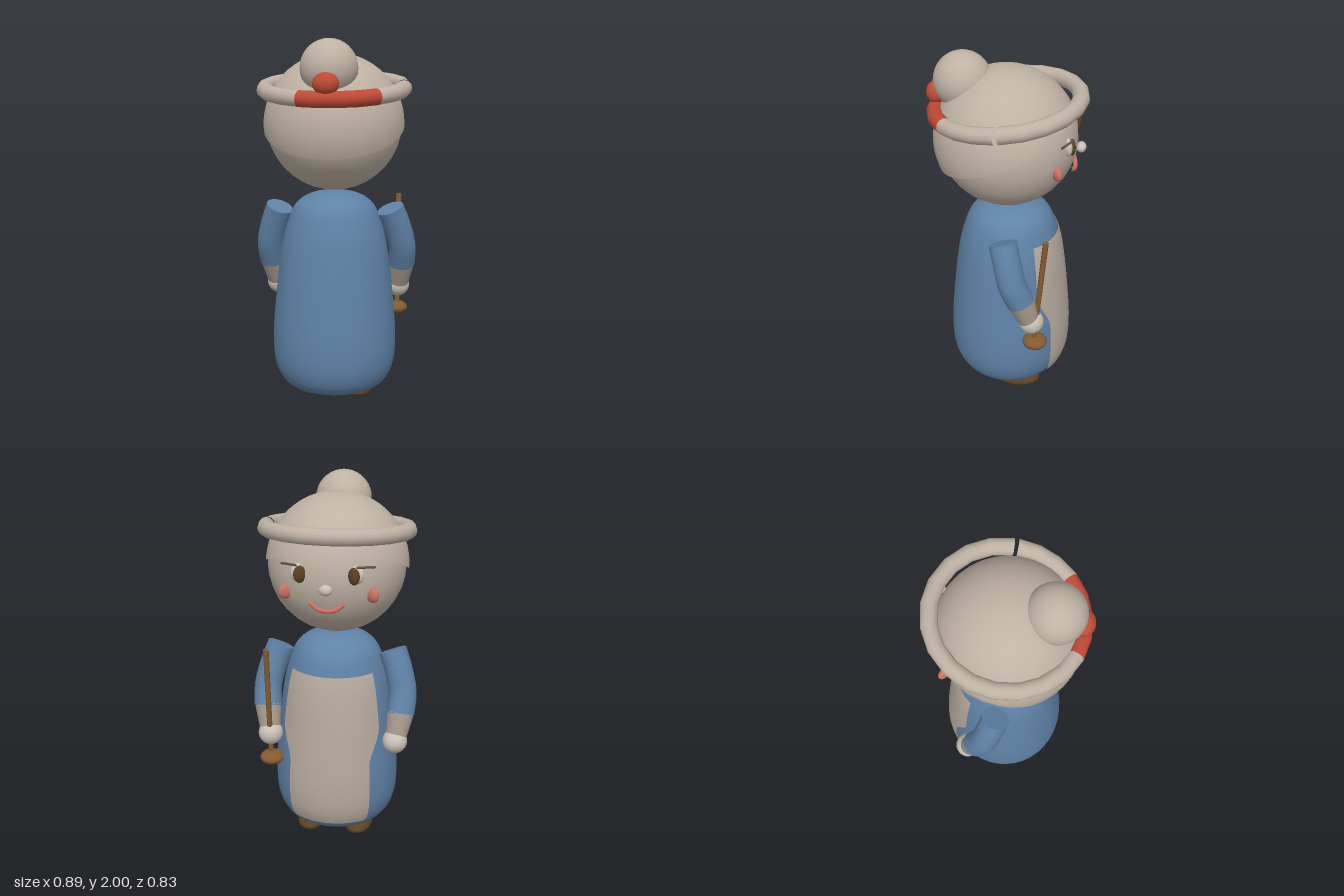
import * as THREE from 'three';

const V = (x, y, z) => new THREE.Vector3(x, y, z);
const mat = (name, color, side = THREE.FrontSide) => {
  const m = new THREE.MeshStandardMaterial({ color, side });
  m.name = name;
  return m;
};

export function createModel() {
  const root = new THREE.Group();
  root.name = 'doll';

  const beige = mat('beige', 0xbfb2a4);
  const apronBeige = mat('apronBeige', 0xb5a99d, THREE.DoubleSide);
  const cuffBeige = mat('cuffBeige', 0xa89c91);
  const handBeige = mat('handBeige', 0xc9c0b7);
  const blue = mat('blue', 0x5f82a6, THREE.DoubleSide);
  const red = mat('red', 0xbf4a36);
  const pink = mat('pink', 0xcb7063);
  const brown = mat('brown', 0x835b34);
  const darkBrown = mat('darkBrown', 0x5a4222);
  const lashGrey = mat('lashGrey', 0x5a5444);

  const add = (name, geo, material, parent = root) => {
    const m = new THREE.Mesh(geo, material);
    m.name = name;
    parent.add(m);
    return m;
  };
  const ball = (name, material, pos, rx, ry = rx, rz = rx, parent = root) => {
    const m = add(name, new THREE.SphereGeometry(1, 28, 18), material, parent);
    m.position.set(...pos);
    m.scale.set(rx, ry, rz);
    return m;
  };
  const rod = (name, material, a, b, ra, rb, parent = root) => {
    const dir = b.clone().sub(a);
    const m = add(name, new THREE.CylinderGeometry(rb, ra, dir.length(), 20), material, parent);
    m.position.copy(a).add(b).multiplyScalar(0.5);
    m.quaternion.setFromUnitVectors(V(0, 1, 0), dir.normalize());
    return m;
  };

  // Gown: rounded, tapering body
  const torso = new THREE.Group();
  torso.name = 'torso';
  torso.position.z = -0.015;
  torso.scale.z = 0.975;
  root.add(torso);
  const profile = new THREE.CatmullRomCurve3([
    [0, 0.07], [0.18, 0.075], [0.275, 0.115], [0.325, 0.2], [0.342, 0.34], [0.325, 0.6],
    [0.287, 0.9], [0.262, 1.0], [0.222, 1.1], [0.17, 1.15], [0.09, 1.18], [0, 1.185],
  ].map(([r, y]) => V(r, y, 0)), false, 'centripetal').getPoints(44)
    .map((p) => new THREE.Vector2(Math.max(p.x, 0), p.y));
  add('gown', new THREE.LatheGeometry(profile, 40), blue, torso);

  // Apron: thin sheet wrapped over the face side of the gown, wider at the top
  const radiusAt = (y) => {
    const i = Math.max(1, profile.findIndex((p) => p.y >= y));
    const a = profile[i - 1], b = profile[i];
    return THREE.MathUtils.lerp(a.x, b.x, (y - a.y) / (b.y - a.y));
  };
  const apronGeo = new THREE.PlaneGeometry(1, 1, 20, 34);
  const ap = apronGeo.attributes.position;
  for (let i = 0; i < ap.count; i++) {
    const y = 0.585 + ap.getY(i) * 0.85;
    const wide = THREE.MathUtils.smoothstep(y, 0.5, 0.72);
    const corner = THREE.MathUtils.smoothstep(y, 0.1, 0.2);
    const half = (34 + 5 * corner + 14 * wide) * Math.PI / 180;
    const a = Math.PI + ap.getX(i) * 2 * half;
    const r = radiusAt(y) + 0.009;
    ap.setXYZ(i, r * Math.sin(a), y, r * Math.cos(a));
  }
  apronGeo.computeVertexNormals();
  add('apron', apronGeo, apronBeige, torso);

  // Arms, cuffs, hands and feet
  for (const s of [1, -1]) {
    const side = s > 0 ? 'left' : 'right';
    const path = new THREE.CatmullRomCurve3([
      V(s * 0.305, 1.09, -0.025), V(s * 0.342, 0.99, -0.052),
      V(s * 0.37, 0.87, -0.085), V(s * 0.365, 0.765, -0.13),
    ]);
    add(side + 'Sleeve', new THREE.TubeGeometry(path, 14, 0.075, 18), blue);
    const cap = add(side + 'SleeveCap', new THREE.CircleGeometry(0.075, 18), blue);
    cap.position.copy(path.getPoint(0));
    cap.quaternion.setFromUnitVectors(V(0, 0, 1), path.getTangent(0).negate());
    rod(side + 'Cuff', cuffBeige, V(s * 0.365, 0.775, -0.127), V(s * 0.347, 0.645, -0.172), 0.074, 0.057);
    ball(side + 'Hand', handBeige, [s * 0.342, 0.625, -0.185], 0.067);
    ball(side + 'Foot', darkBrown, [s * 0.135, 0.044, -0.078], 0.08, 0.041, 0.133);
  }

  // Staff with a rounded foot, held in the left hand
  rod('staff', brown, V(0.34, 0.49, -0.198), V(0.34, 1.14, -0.252), 0.014, 0.015);
  ball('staffFoot', brown, [0.333, 0.485, -0.205], 0.066, 0.037, 0.067);

  // Head with a slightly raised, tilted hair cap and a bun
  ball('head', beige, [0, 1.56, 0], 0.365);
  const hair = add('hair', new THREE.SphereGeometry(0.378, 40, 20, 0, Math.PI * 2, 0, Math.PI * 0.51), beige);
  hair.position.set(0, 1.55, 0.008);
  hair.rotation.x = 0.39;
  ball('bun', beige, [0, 1.85, 0.23], 0.15);

  // Rolled head ring: two plain arcs with a red section between
  const ring = new THREE.Group();
  ring.name = 'headRing';
  ring.position.y = 1.742;
  ring.rotation.x = 0.12;
  root.add(ring);
  const deg = Math.PI / 180;
  for (const [name, from, to, material] of [
    ['ringFront', 1, 48, beige], ['ringRed', 48, 112, red], ['ringBack', 112, 358, beige],
  ]) {
    const segs = Math.max(3, Math.round((to - from) / 18));
    const geo = new THREE.TorusGeometry(0.373, 0.043, 12, segs, (to - from) * deg);
    geo.rotateZ(from * deg);
    geo.rotateX(Math.PI / 2);
    add(name, geo, material, ring);
  }
  ball('redBead', red, [0, 1.776, 0.368], 0.068, 0.058, 0.052);

  // Face
  const face = new THREE.Group();
  face.name = 'face';
  root.add(face);
  for (const s of [1, -1]) {
    ball('eyeWhite', handBeige, [s * 0.145, 1.592, -0.325], 0.042, 0.048, 0.022, face).rotation.y = s * 0.4;
    ball('eye', darkBrown, [s * 0.135, 1.588, -0.345], 0.032, 0.044, 0.018, face).rotation.y = s * 0.38;
    ball('cheek', pink, [s * 0.22, 1.478, -0.283], 0.04, 0.04, 0.022, face).rotation.y = s * 0.65;
    rod('eyelash', lashGrey, V(s * 0.15, 1.636, -0.355), V(s * 0.235, 1.63, -0.305), 0.006, 0.006, face);
  }
  ball('nose', handBeige, [0, 1.522, -0.382], 0.034, 0.028, 0.026, face);
  const smile = new THREE.CatmullRomCurve3([
    V(-0.085, 1.437, -0.335), V(-0.035, 1.409, -0.352), V(0.035, 1.409, -0.352), V(0.085, 1.437, -0.335),
  ]);
  add('mouth', new THREE.TubeGeometry(smile, 16, 0.012, 8), pink, face);

  return root;
}
